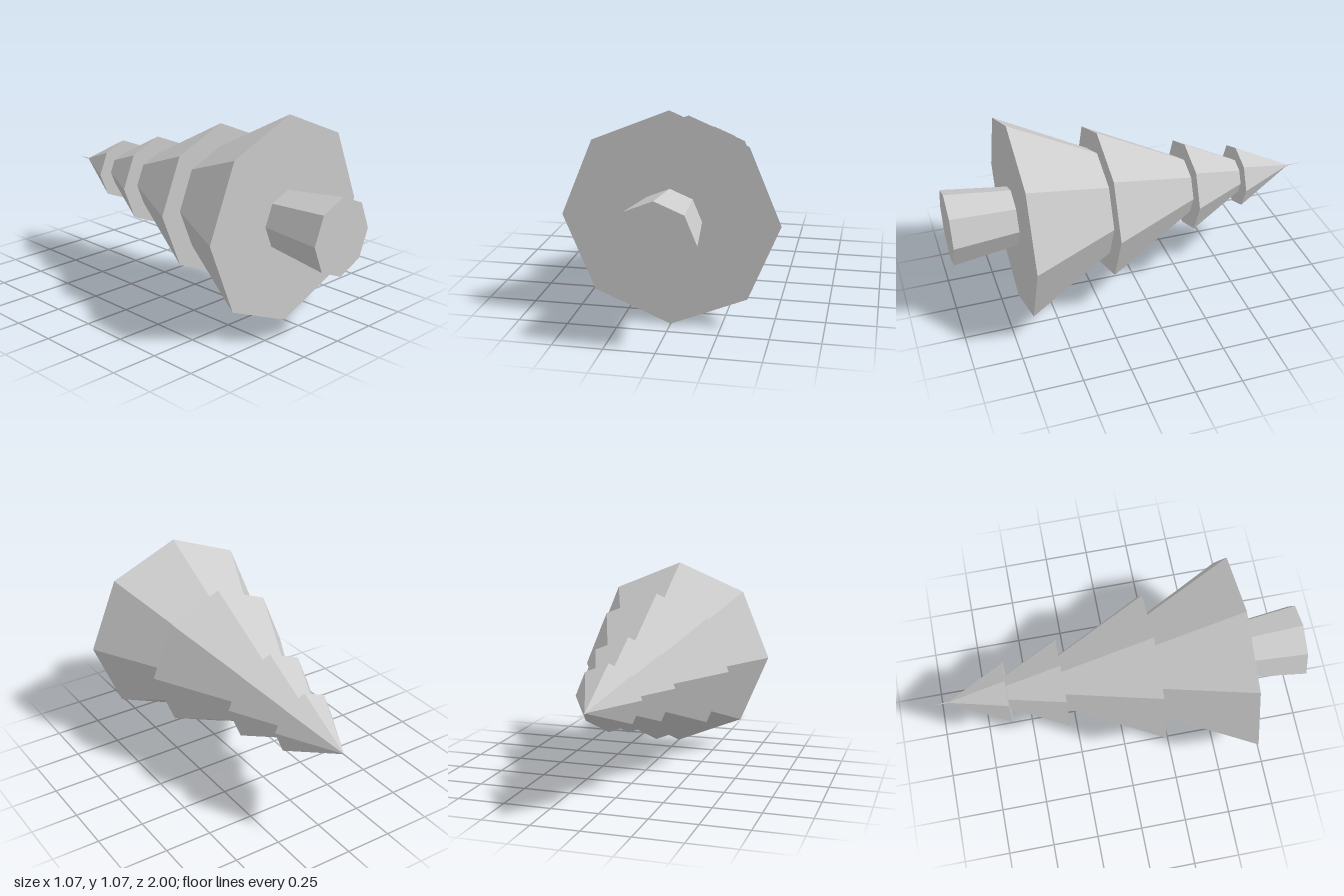
import * as THREE from 'three';

const SIDES = 8;
const AXIS_Y = 0.538;

// Octagonal frustum lying along z, from its base (front) to its tip (back)
function frustum(name, zBase, rBase, zTip, rTip, material) {
  const length = zBase - zTip;
  const geometry = new THREE.CylinderGeometry(rTip, rBase, length, SIDES);
  geometry.rotateX(-Math.PI / 2);
  const mesh = new THREE.Mesh(geometry, material);
  mesh.name = name;
  mesh.position.set(0, AXIS_Y, (zBase + zTip) / 2);
  return mesh;
}

export function createModel() {
  const group = new THREE.Group();
  group.name = 'lyingTree';
  const material = new THREE.MeshStandardMaterial({ color: 0xcccccc, flatShading: true });

  // Trunk, flaring towards its foot
  group.add(frustum('trunk', 1, 0.2, 0.655, 0.157, material));

  // Foliage tiers: base z, base radius, tip z, tip radius
  const tiers = [
    [0.655, 0.537, 0.19, 0.29],
    [0.19, 0.411, -0.295, 0.155],
    [-0.295, 0.25, -0.593, 0.095],
    [-0.593, 0.172, -0.915, 0.002],
  ];
  tiers.forEach((t, i) => group.add(frustum(`foliageTier${i + 1}`, ...t, material)));

  // Needle-thin tip
  group.add(frustum('tipSpike', -0.91, 0.003, -1, 0, material));

  return group;
}
